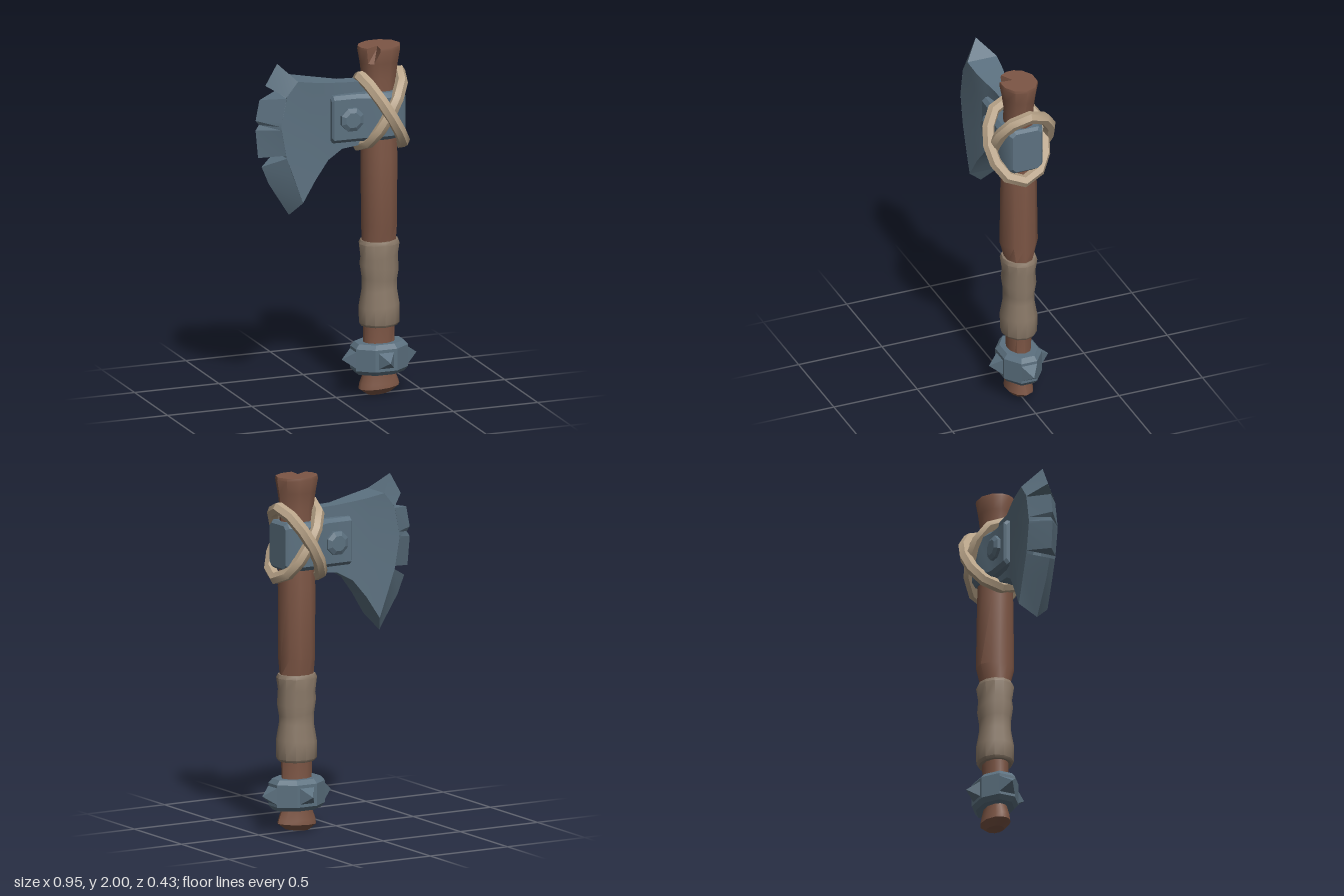
import * as THREE from 'three';
import { toCreasedNormals } from 'three/addons/utils/BufferGeometryUtils.js';

const mat = (name, color) => new THREE.MeshStandardMaterial({ name, color });

// Closed skin over rings of equal point count, with fan caps; faces are turned outward.
function loft(rings, crease = 0.7) {
  const n = rings[0].length, pos = [];
  const tri = (a, b, c) => pos.push(...a, ...b, ...c);
  for (let i = 0; i < rings.length - 1; i++) {
    for (let k = 0; k < n; k++) {
      const m = (k + 1) % n, A = rings[i], B = rings[i + 1];
      tri(A[k], A[m], B[k]);
      tri(A[m], B[m], B[k]);
    }
  }
  const cap = (ring, flip) => {
    const c = [0, 1, 2].map(j => ring.reduce((s, p) => s + p[j], 0) / n);
    ring.forEach((p, k) => {
      const q = ring[(k + 1) % n];
      if (flip) tri(c, q, p); else tri(c, p, q);
    });
  };
  cap(rings[0], true);
  cap(rings[rings.length - 1], false);
  let volume = 0;
  const v = i => new THREE.Vector3().fromArray(pos, i);
  for (let i = 0; i < pos.length; i += 9) volume += v(i).dot(v(i + 3).cross(v(i + 6)));
  if (volume < 0) {
    for (let i = 0; i < pos.length; i += 9) {
      for (let j = 0; j < 3; j++) [pos[i + 3 + j], pos[i + 6 + j]] = [pos[i + 6 + j], pos[i + 3 + j]];
    }
  }
  const g = new THREE.BufferGeometry();
  g.setAttribute('position', new THREE.Float32BufferAttribute(pos, 3));
  return toCreasedNormals(g, crease);
}

const CX = 0.255; // shaft axis
const oval = (y, rx, rz, angles, tilt = 0) => angles.map(d => {
  const a = THREE.MathUtils.degToRad(d), x = Math.cos(a) * rx;
  return [CX + x, y + tilt * x, Math.sin(a) * rz];
});

export function createModel() {
  const group = new THREE.Group();
  const wood = mat('brown wood', 0x7d5645);
  const steel = mat('blue steel', 0x5c7180);
  const rope = mat('pale rope', 0xb8a388);
  const leather = mat('grip leather', 0x8b7a69);
  const add = (name, geometry, material, parent = group) => {
    const m = new THREE.Mesh(geometry, material);
    m.name = name;
    parent.add(m);
    return m;
  };

  // Wooden shaft, with one rim corner pulled in for the split at the top
  const angles = [0, 36, 72, 104, 122, 141, 165, 190, 216, 252, 288, 324];
  const shaftRings = [
    [0.005, 0.07, 0.045, 0.1], [0.04, 0.12, 0.075, 0.06], [0.065, 0.115, 0.072], [0.125, 0.092, 0.06],
    [0.4, 0.092, 0.07], [0.88, 0.1, 0.08], [0.98, 0.101, 0.108], [1.38, 0.106, 0.1],
    [1.5, 0.1, 0.095], [1.82, 0.1, 0.08], [1.91, 0.112, 0.092], [1.985, 0.125, 0.106], [2, 0.122, 0.103],
  ].map(([y, rx, rz, tilt]) => oval(y, rx, rz, angles, tilt));
  shaftRings[12][4] = [0.232, 2, 0.025];
  shaftRings[11][4] = [0.23, 1.985, 0.03];
  add('shaft', loft(shaftRings), wood);

  // Wavy leather grip
  const even = Array.from({ length: 12 }, (_, i) => i * 30);
  add('grip', loft([
    [0.395, 0.105, 0.09], [0.41, 0.116, 0.101], [0.51, 0.117, 0.102, 0.08], [0.6, 0.102, 0.086, 0.1],
    [0.66, 0.102, 0.086, -0.1], [0.73, 0.113, 0.096, -0.15], [0.79, 0.108, 0.09, 0.1],
    [0.865, 0.117, 0.102], [0.885, 0.108, 0.094],
  ].map(([y, rx, rz, tilt]) => oval(y, rx, rz, even, tilt))), leather);

  // Octagonal collar with four spikes
  const collar = new THREE.Group();
  collar.name = 'spikedCollar';
  group.add(collar);
  const eight = Array.from({ length: 8 }, (_, i) => 22.5 + i * 45);
  add('collarBand', loft([[0.125, 0.145, 0.1], [0.15, 0.167, 0.122], [0.275, 0.167, 0.122], [0.3, 0.145, 0.1]]
    .map(([y, rx, rz]) => oval(y, rx, rz, eight)), 0.3), steel, collar);
  for (let i = 0; i < 4; i++) {
    const a = i * Math.PI / 2;
    const g = new THREE.ConeGeometry(0.068, 0.07, 4).toNonIndexed();
    g.rotateY(Math.PI / 4);
    g.rotateZ(-Math.PI / 2);
    g.translate(i % 2 ? 0.143 : 0.187, 0, 0);
    g.rotateY(a);
    g.computeVertexNormals();
    add('collarSpike', g, steel, collar).position.set(CX, 0.212, 0);
  }

  // Blade body: stations from the block to the bevel line, thickening outward
  const head = new THREE.Group();
  head.name = 'axeHead';
  group.add(head);
  const column = (x, top, bottom, bow) => [0, 0.2, 0.45, 0.72, 1].map(t =>
    [x - bow * Math.sin(Math.PI * t), top + (bottom - top) * t]);
  const bevel = [[-0.26, 1.86], [-0.325, 1.78], [-0.36, 1.61], [-0.328, 1.43], [-0.23, 1.16]];
  const stations = [
    [column(0.16, 1.81, 1.45, 0), 0.04],
    [column(0.02, 1.815, 1.435, 0), 0.042],
    [column(-0.07, 1.828, 1.385, 0.01), 0.062],
    [column(-0.15, 1.84, 1.285, 0.05), 0.078],
    [bevel, 0.088],
  ];
  add('blade', loft(stations.map(([pts, z]) => [
    ...pts.map(([x, y]) => [x, y, z]),
    ...[...pts].reverse().map(([x, y]) => [x, y, -z]),
  ]), 0.5), steel, head);

  // Chipped cutting edge: wedges from the bevel line out to a sharp rim
  const teeth = [
    [[[-0.26, 1.86], [-0.326, 1.775]], [[-0.35, 1.95], [-0.42, 1.83]]],
    [[[-0.328, 1.77], [-0.355, 1.635], [-0.36, 1.61], [-0.358, 1.59], [-0.331, 1.443]],
      [[-0.455, 1.752], [-0.478, 1.635], [-0.458, 1.61], [-0.478, 1.58], [-0.463, 1.42]]],
    [[[-0.326, 1.425], [-0.29, 1.32], [-0.23, 1.16]], [[-0.442, 1.367], [-0.4, 1.265], [-0.28, 1.075]]],
  ];
  for (const [base, rim] of teeth) {
    add('edgeTooth', loft(base.map(([x, y], i) => [
      [x, y, 0.088], [rim[i][0], rim[i][1], 0], [x, y, -0.088],
    ]), 0.3), steel, head);
  }

  // Socket block swelling around the shaft, with chamfered corners
  const section = (x, h, w, c) => [
    [h - c, w], [h, w - c], [h, c - w], [h - c, -w], [c - h, -w], [-h, c - w], [-h, w - c], [c - h, w],
  ].map(([y, z]) => [x, 1.615 + y, z]);
  add('socketBlock', loft([
    section(-0.056, 0.122, 0.08, 0.02), section(-0.045, 0.135, 0.092, 0.02), section(0.11, 0.135, 0.096, 0.02),
    section(0.2, 0.135, 0.128, 0.025), section(0.28, 0.135, 0.128, 0.025),
    section(0.36, 0.135, 0.1, 0.025), section(0.378, 0.12, 0.085, 0.02),
  ], 0.4), steel, head);

  // Octagonal bolts on both cheeks
  for (const s of [1, -1]) {
    const disc = (z, r) => eight.map(d => {
      const a = THREE.MathUtils.degToRad(d);
      return [0.055 + r * Math.cos(a), 1.615 + r * Math.sin(a), s * z];
    });
    add('bolt', loft([disc(0.07, 0.07), disc(0.112, 0.07), disc(0.125, 0.045)], 0.2), steel, head);
  }

  // Two crossed rope loops, each passing over the other on one side
  for (const s of [1, -1]) {
    const pts = Array.from({ length: 10 }, (_, i) => {
      const a = i * Math.PI / 5, u = Math.cos(a);
      return new THREE.Vector3(CX + 0.005 - s * 0.12 * u, 1.63 + 0.2 * u, Math.sin(a) * 0.162 + s * 0.016);
    });
    const tube = new THREE.TubeGeometry(new THREE.CatmullRomCurve3(pts, true), 12, 0.036, 6, true);
    add('ropeLoop', toCreasedNormals(tube, 0.6), rope);
  }
  return group;
}
